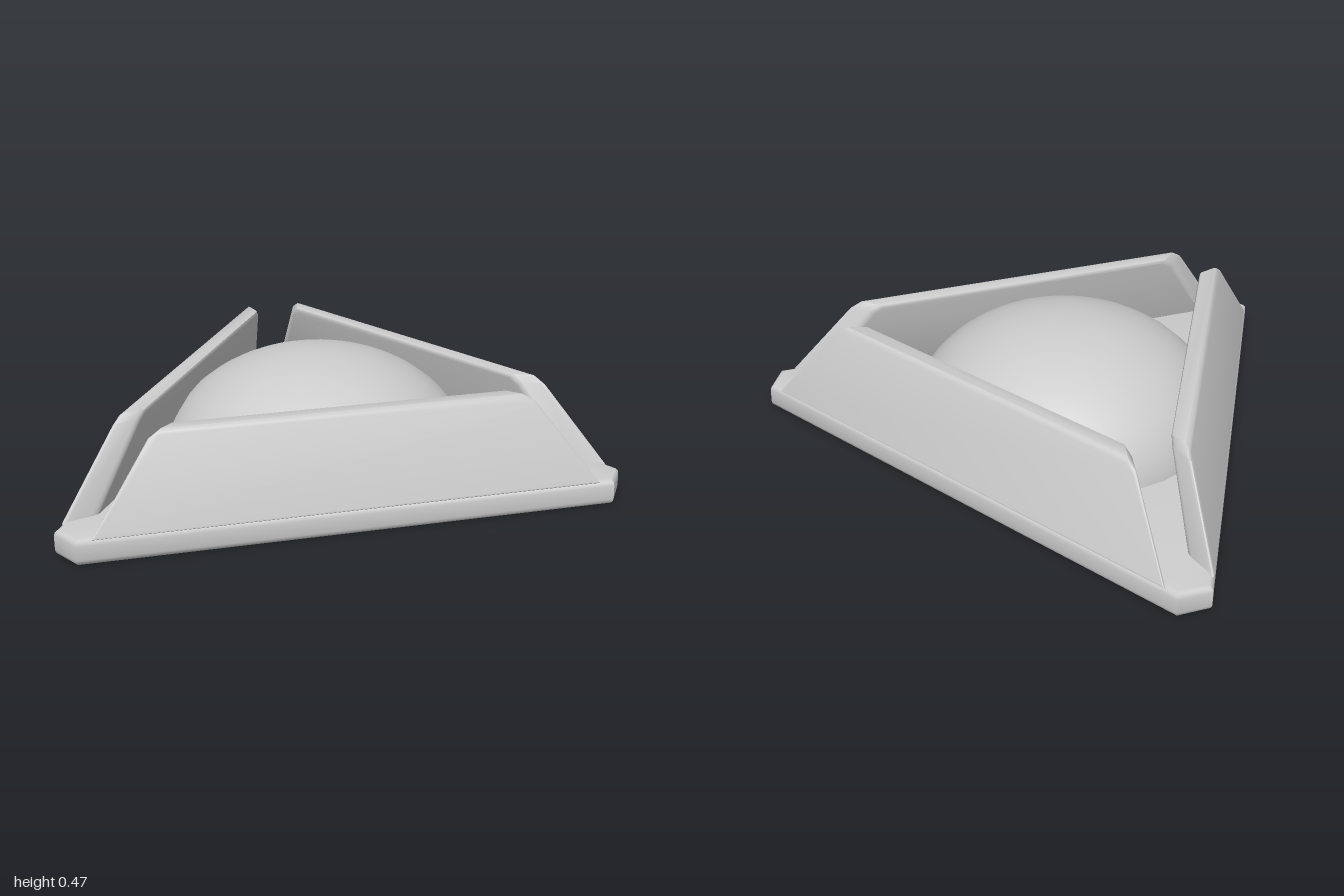
import * as THREE from 'three';
import { toCreasedNormals } from 'three/addons/utils/BufferGeometryUtils.js';

const CENTRE_X = -0.255; // centroid of the triangle
const INRADIUS = 0.615;
const TIP = 1.125; // centroid to the cut corner

function bevelled(points, height, bevel) {
  const shape = new THREE.Shape(points.map(([x, y]) => new THREE.Vector2(x, y)));
  const geometry = new THREE.ExtrudeGeometry(shape, {
    depth: height - 2 * bevel, bevelThickness: bevel, bevelSize: bevel,
    bevelOffset: -bevel, bevelSegments: 3,
  });
  return geometry.translate(0, 0, bevel);
}

export function createModel() {
  const group = new THREE.Group();
  const material = new THREE.MeshStandardMaterial({ color: 0xcccccc });
  const add = (name, geometry) => {
    const mesh = new THREE.Mesh(geometry, material);
    mesh.name = name;
    mesh.position.x = CENTRE_X;
    group.add(mesh);
    return mesh;
  };

  // Triangular base with blunted corners
  const outline = [];
  const halfCut = (2 * INRADIUS - TIP) / Math.sqrt(3);
  for (let i = 0; i < 3; i++) {
    const a = (i * 2 * Math.PI) / 3, c = Math.cos(a), s = Math.sin(a);
    for (const w of [-halfCut, halfCut]) outline.push([TIP * c - w * s, TIP * s + w * c]);
  }
  const base = bevelled(outline, 0.095, 0.022).rotateX(-Math.PI / 2);
  add('base', toCreasedNormals(base, 0.65));

  // Leaning side panel: trapezoid, tapered upward, with mitred ends
  const thickness = 0.09;
  const panel = bevelled([
    [-0.9, 0.085], [0.9, 0.085], [0.685, 0.38], [0.645, 0.405], [-0.645, 0.405], [-0.685, 0.38],
  ], thickness, 0.016);
  const p = panel.attributes.position;
  for (let i = 0; i < p.count; i++) {
    const rise = p.getY(i) - 0.1, depth = thickness - p.getZ(i);
    p.setX(i, p.getX(i) * (1 - 1.2 * depth));
    p.setZ(i, 0.61 - depth * (1 - 0.8 * rise) - 0.38 * rise);
  }
  const panelGeometry = toCreasedNormals(panel, 0.65);
  ['rightPanel', 'frontPanel', 'backPanel'].forEach((name, i) => {
    add(name, panelGeometry).rotation.y = -Math.PI / 2 + (i * 2 * Math.PI) / 3;
  });

  // Flattened dome in the middle
  const dome = new THREE.SphereGeometry(1, 32, 16, 0, Math.PI * 2, 0, Math.PI / 2);
  dome.scale(0.575, 0.415, 0.575);
  add('dome', dome).position.y = 0.05;

  return group;
}
